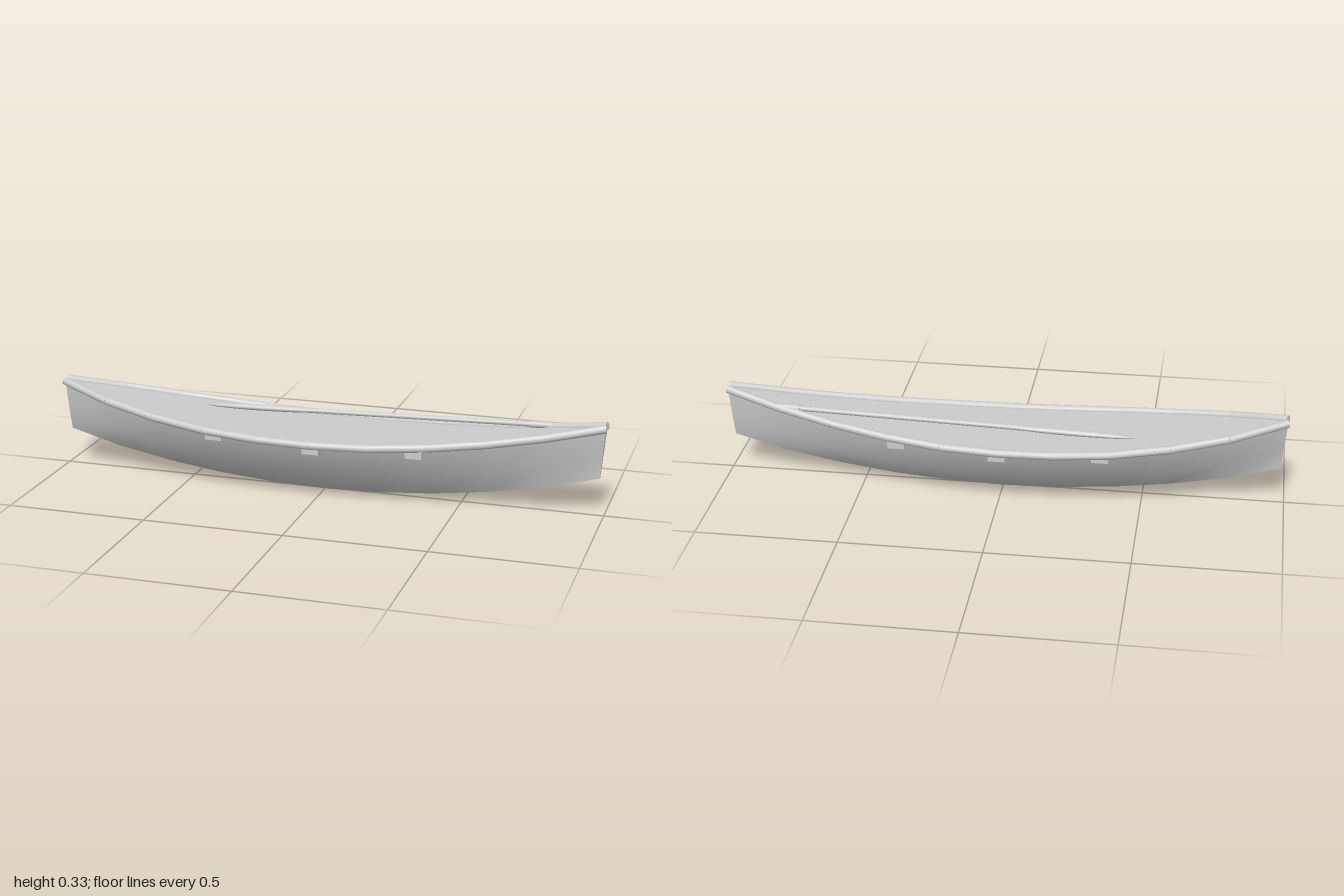
import * as THREE from 'three';
import { toCreasedNormals } from 'three/addons/utils/BufferGeometryUtils.js';

const material = new THREE.MeshStandardMaterial({ color: 0xcccccc, side: THREE.DoubleSide });

// Eleven stations along the boat, with the half-beam at each
const beams = [0.016, 0.097, 0.147, 0.178, 0.188, 0.187, 0.175, 0.147, 0.111, 0.068, 0.016];
const stations = beams.map((beam, i) => {
  const x = -1 + i * 0.2;
  return { x: x * 0.996, beam, sheer: 0.217 + 0.101 * x * x, keel: 0.135 * x * x };
});

function addMesh(parent, name, geometry) {
  const mesh = new THREE.Mesh(geometry, material);
  mesh.name = name;
  parent.add(mesh);
  return mesh;
}

// Cylinder running from point a to point b
function addRod(parent, name, a, b, radiusA, radiusB, sides = 12) {
  const dir = b.clone().sub(a);
  const rod = addMesh(parent, name, new THREE.CylinderGeometry(radiusB, radiusA, dir.length(), sides));
  rod.position.copy(a).add(b).multiplyScalar(0.5);
  rod.quaternion.setFromUnitVectors(new THREE.Vector3(0, 1, 0), dir.normalize());
  return rod;
}

// Closed cross-section of one station: sheer, chine, keel, mirrored, then the deck
function section({ x, beam, sheer, keel }) {
  const foot = Math.min(0.008, beam * 0.25);
  const chineY = keel + (sheer - keel) * 0.46;
  const half = [[beam, sheer], [beam * 0.73, chineY], [foot, keel]];
  const ring = [...half, ...half.slice().reverse().map(([z, y]) => [-z, y])];
  // the stem leans in slightly towards the keel
  return ring.map(([z, y]) => {
    const lean = Math.abs(x) > 0.95 ? 0.015 * (sheer - y) / (sheer - keel) : 0;
    return [x - Math.sign(x) * lean, y, z];
  });
}

function hullGeometry() {
  const rings = stations.map(section);
  const n = rings[0].length;
  const index = [];
  for (let i = 0; i < rings.length - 1; i++) {
    for (let j = 0; j < n; j++) {
      const a = i * n + j, b = i * n + (j + 1) % n;
      index.push(a, b, a + n, b, b + n, a + n);
    }
  }
  // stem caps
  const last = (rings.length - 1) * n;
  for (let j = 1; j < n - 1; j++) {
    index.push(0, j + 1, j, last, last + j, last + j + 1);
  }
  const geometry = new THREE.BufferGeometry();
  geometry.setAttribute('position', new THREE.Float32BufferAttribute(rings.flat(2), 3));
  geometry.setIndex(index);
  return toCreasedNormals(geometry, 0.75);
}

export function createModel() {
  const model = new THREE.Group();
  model.name = 'canoe';
  addMesh(model, 'hull', hullGeometry());

  // Gunwales: one straight rail piece per bay, on both sides
  const rails = new THREE.Group();
  rails.name = 'gunwales';
  model.add(rails);
  for (const side of [1, -1]) {
    const points = stations.map((s) => new THREE.Vector3(s.x, s.sheer, side * (s.beam + 0.001)));
    for (let i = 0; i < points.length - 1; i++) {
      addRod(rails, 'gunwaleRail', points[i], points[i + 1], 0.0145, 0.0145);
    }
  }

  // Thwarts, with their ends showing just below the rails
  for (const [x, y, halfWidth] of [[-0.36, 0.214, 0.182], [0, 0.197, 0.188], [0.36, 0.205, 0.154]]) {
    const thwart = addMesh(model, 'thwart', new THREE.BoxGeometry(0.06, 0.026, halfWidth * 2));
    thwart.position.set(x, y, 0);
  }

  // Paddle lying lengthwise above the deck
  const paddle = new THREE.Group();
  paddle.name = 'paddle';
  model.add(paddle);
  const at = (x) => new THREE.Vector3(x, 0.264 + 0.029 * x, -0.069);
  addRod(paddle, 'shaft', at(-0.3), at(0.79), 0.009, 0.009);
  addRod(paddle, 'grip', at(0.72), at(0.8), 0.012, 0.012);
  const blade = addMesh(paddle, 'blade', new THREE.SphereGeometry(1, 24, 12));
  blade.scale.set(0.23, 0.011, 0.015);
  blade.position.copy(at(-0.24));
  blade.rotation.z = 0.029;

  return model;
}
